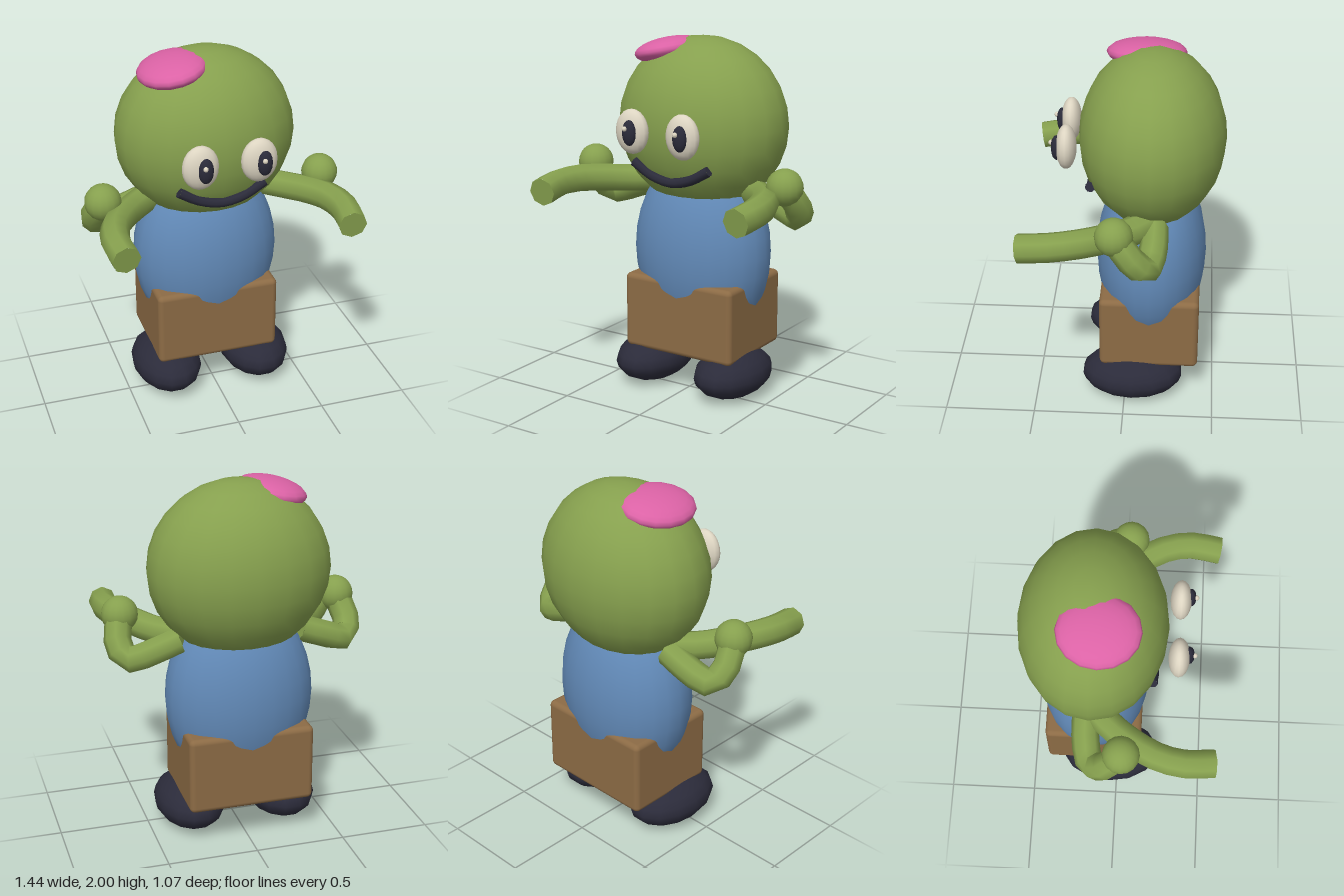
import * as THREE from 'three';
import { RoundedBoxGeometry } from 'three/addons/geometries/RoundedBoxGeometry.js';

const mat = (name, color) => new THREE.MeshStandardMaterial({ name, color });
const V = (p) => new THREE.Vector3(...p);

export function createModel() {
  const green = mat('skin green', 0x86a04e);
  const blue = mat('shirt blue', 0x628ab8);
  const brown = mat('trousers brown', 0x8c6b45);
  const dark = mat('dark navy', 0x2b2b3a);
  const pink = mat('brain pink', 0xdb62a5);
  const cream = mat('eye cream', 0xddd5c2);

  const model = new THREE.Group();
  model.name = 'monster';

  const add = (name, geometry, material, pos = [0, 0, 0]) => {
    const mesh = new THREE.Mesh(geometry, material);
    mesh.name = name;
    mesh.position.set(...pos);
    model.add(mesh);
    return mesh;
  };

  const ellipsoid = (name, material, pos, radii, segs = 20, rings = 14) => {
    const geometry = new THREE.SphereGeometry(1, segs, rings).scale(...radii);
    return add(name, geometry, material, pos);
  };

  // Tube through points, closed by a disc at its far end
  const limb = (name, material, points, radius, steps, sides = 8) => {
    const curve = new THREE.CatmullRomCurve3(points.map(V));
    const tube = add(name, new THREE.TubeGeometry(curve, steps, radius, sides), material);
    for (const t of [0, 1]) {
      const cap = new THREE.Mesh(new THREE.CircleGeometry(radius, sides), material);
      cap.name = name + 'Cap';
      cap.position.copy(curve.getPoint(t));
      const outward = curve.getTangent(t).multiplyScalar(t ? 1 : -1);
      cap.quaternion.setFromUnitVectors(new THREE.Vector3(0, 0, 1), outward);
      tube.add(cap);
    }
  };

  // Head, torso and trousers
  ellipsoid('head', green, [0, 1.52, -0.135], [0.5, 0.48, 0.395]);
  ellipsoid('torso', blue, [0, 0.8, -0.135], [0.412, 0.55, 0.305], 24, 16);
  add('trousers', new RoundedBoxGeometry(0.7, 0.435, 0.55, 3, 0.03), brown, [0, 0.443, -0.135]);

  // Exposed brain, tilted along the skull
  ellipsoid('brain', pink, [-0.19, 1.915, -0.092], [0.19, 0.07, 0.215], 16, 12).rotation.z = 0.2;

  // Smiling mouth
  limb('mouth', dark, [
    [-0.24, 1.325, 0.185], [-0.12, 1.26, 0.19], [0, 1.235, 0.19],
    [0.12, 1.26, 0.19], [0.24, 1.325, 0.185],
  ], 0.028, 12, 8);

  for (const s of [1, -1]) {
    const side = s > 0 ? 'left' : 'right';
    const mirror = (points) => points.map(([x, y, z]) => [s * x, y, z]);

    // Eye: both pupils look slightly towards +x
    ellipsoid(side + 'Eye', cream, [s * 0.16, 1.52, 0.315], [0.1, 0.122, 0.056], 16, 12);
    ellipsoid(side + 'Pupil', dark, [s * 0.16 + 0.015, 1.52, 0.365], [0.042, 0.07, 0.029], 12, 8);
    ellipsoid(side + 'Glint', cream, [s * 0.16 + 0.005, 1.545, 0.394], [0.014, 0.014, 0.014], 8, 6);

    // Long arm reaching forward
    limb(side + 'ReachingArm', green, mirror([
      [0.3, 1.17, -0.15], [0.43, 1.17, -0.03], [0.53, 1.185, 0.1],
      [0.6, 1.195, 0.23], [0.63, 1.19, 0.37], [0.615, 1.17, 0.53],
    ]), 0.078, 10);

    // Short bent arm with a round hand
    limb(side + 'BentArm', green, mirror([
      [0.34, 1.15, -0.16], [0.48, 1.1, -0.16], [0.61, 1.06, -0.13],
      [0.65, 1.13, -0.06], [0.62, 1.25, 0.03],
    ]), 0.075, 8);
    ellipsoid(side + 'Hand', green, [s * 0.617, 1.258, 0.037], [0.1, 0.1, 0.1], 16, 12);

    // Shoe
    ellipsoid(side + 'Shoe', dark, [s * 0.265, 0.136, -0.043], [0.196, 0.136, 0.285], 14, 10);
  }

  return model;
}
